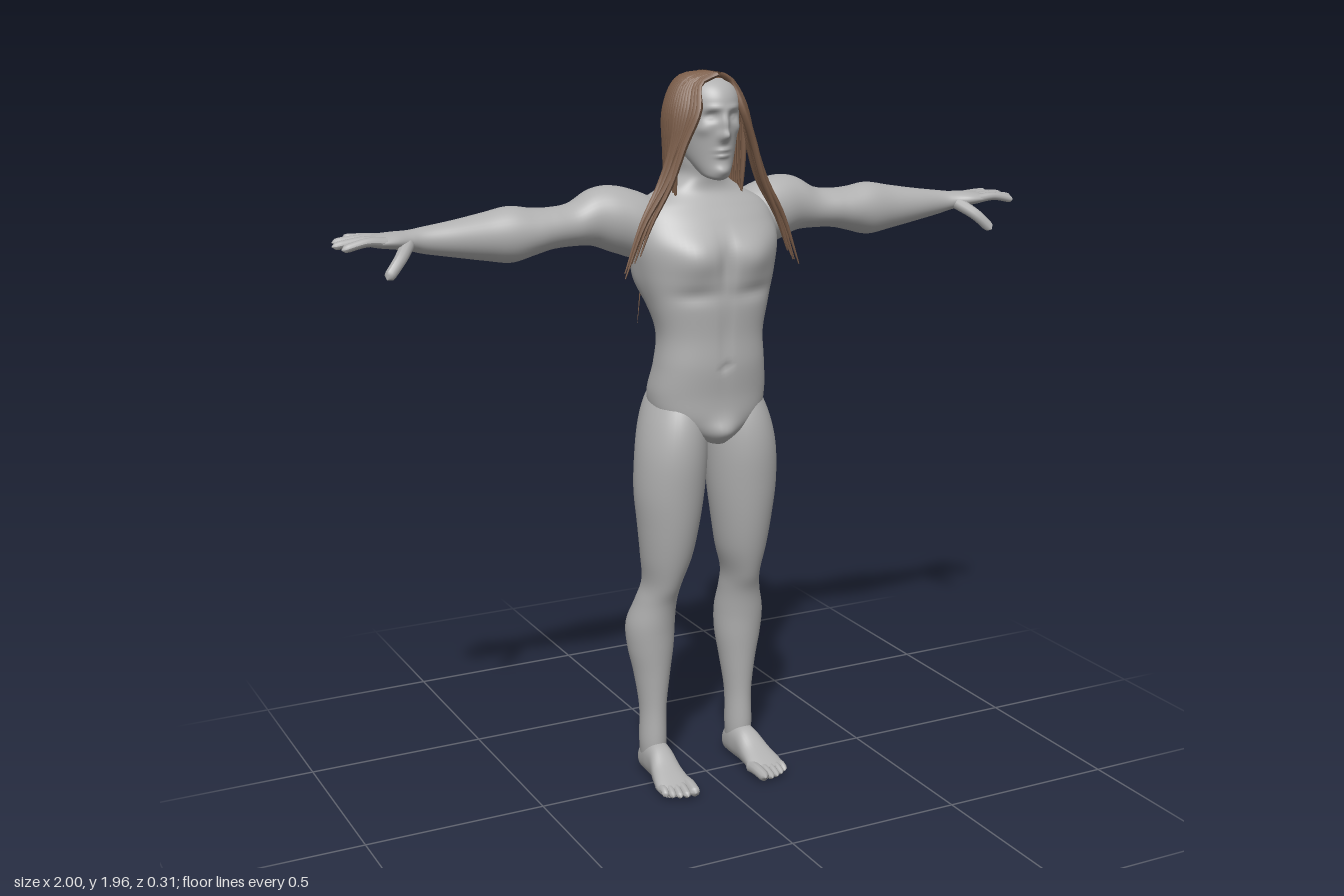
import * as THREE from 'three';

const skin = new THREE.MeshStandardMaterial({ color: 0xb0b0b0 });
skin.name = 'grey skin';
const hairBrown = new THREE.MeshStandardMaterial({ color: 0x7a5c48, side: THREE.DoubleSide });
hairBrown.name = 'brown hair';

// Smooth blend of ring rows at position u (in rows)
function ringAt(rows, u) {
  const i = Math.min(Math.floor(u), rows.length - 2), f = u - i;
  const p = k => rows[Math.max(0, Math.min(rows.length - 1, k))];
  return rows[i].map((b, c) => {
    const a = p(i - 1)[c], d = p(i + 1)[c], e = p(i + 2)[c];
    return b + 0.5 * f * (d - a + f * (2 * a - 5 * b + 4 * d - e + f * (3 * (b - d) + e - a)));
  });
}

// Closed skin over elliptical rings [t, centreA, centreB, radiusA, radiusB] along one axis
function loft(axis, rows, sides, steps, power = 2) {
  const place = { x: (t, a, b) => [t, a, b], y: (t, a, b) => [a, t, b], z: (t, a, b) => [a, b, t] }[axis];
  const n = (rows.length - 1) * steps, pos = [], idx = [];
  const sp = v => Math.sign(v) * Math.abs(v) ** (2 / power);
  const tri = (a, b, c) => (axis === 'y' ? idx.push(a, b, c) : idx.push(a, c, b));
  for (let i = 0; i <= n; i++) {
    const [t, ca, cb, ra, rb] = ringAt(rows, i / steps);
    for (let j = 0; j < sides; j++) {
      const q = (j / sides) * Math.PI * 2;
      pos.push(...place(t, ca + ra * sp(Math.cos(q)), cb + rb * sp(Math.sin(q))));
    }
  }
  for (let i = 0; i < n; i++) for (let j = 0; j < sides; j++) {
    const a = i * sides + j, b = i * sides + (j + 1) % sides;
    tri(a, a + sides, b);
    tri(b, a + sides, b + sides);
  }
  const first = rows[0], last = rows[rows.length - 1], c0 = (n + 1) * sides;
  pos.push(...place(first[0], first[1], first[2]), ...place(last[0], last[1], last[2]));
  for (let j = 0; j < sides; j++) {
    const k = (j + 1) % sides;
    tri(c0, j, k);
    tri(c0 + 1, n * sides + k, n * sides + j);
  }
  const g = new THREE.BufferGeometry();
  g.setAttribute('position', new THREE.Float32BufferAttribute(pos, 3));
  g.setIndex(idx);
  g.computeVertexNormals();
  return g;
}

// Soft symmetric bulges [x,y,z, spreadX,Y,Z, pushX,Y,Z]
function sculpt(g, bumps) {
  const p = g.attributes.position;
  for (let i = 0; i < p.count; i++) {
    const x = p.getX(i), y = p.getY(i), z = p.getZ(i), s = Math.sign(x);
    let dx = 0, dy = 0, dz = 0;
    for (const b of bumps) {
      const w = Math.exp(-(((Math.abs(x) - b[0]) / b[3]) ** 2) - ((y - b[1]) / b[4]) ** 2 - ((z - b[2]) / b[5]) ** 2);
      dx += w * b[6] * s; dy += w * b[7]; dz += w * b[8];
    }
    p.setXYZ(i, x + dx, y + dy, z + dz);
  }
  g.computeVertexNormals();
  return g;
}

// Tube along points whose radius follows a function of t
function taperTube(points, radius, segs, sides) {
  const curve = new THREE.CatmullRomCurve3(points.map(p => new THREE.Vector3(...p)));
  const g = new THREE.TubeGeometry(curve, segs, 1, sides), pos = g.attributes.position, v = new THREE.Vector3();
  for (let i = 0; i <= segs; i++) {
    const c = curve.getPointAt(i / segs), r = radius(i / segs);
    for (let j = 0; j <= sides; j++) {
      const k = i * (sides + 1) + j;
      v.fromBufferAttribute(pos, k).sub(c).multiplyScalar(r).add(c);
      pos.setXYZ(k, v.x, v.y, v.z);
    }
  }
  return g;
}

function mirrored(g) {
  const m = g.clone().scale(-1, 1, 1), a = m.index.array;
  for (let i = 0; i < a.length; i += 3) [a[i], a[i + 1]] = [a[i + 1], a[i]];
  m.computeVertexNormals();
  return m;
}

export function createModel() {
  const model = new THREE.Group();
  model.name = 'standing figure';
  const add = (name, g, mat = skin) => {
    const m = new THREE.Mesh(g, mat);
    m.name = name;
    model.add(m);
  };
  const pair = (name, g, mat) => { add('left ' + name, g, mat); add('right ' + name, mirrored(g), mat); };
  const digit = r => t => r * (1 - 0.2 * t) * Math.sqrt(Math.max(0.001, 1 - Math.max(0, (t - 0.85) / 0.15) ** 2));

  // Torso and neck
  add('torso', sculpt(loft('y', [
    [0.985, 0, 0.04, 0.025, 0.04], [1.02, 0, 0.01, 0.1, 0.09], [1.06, 0, 0, 0.15, 0.108], [1.12, 0, -0.002, 0.164, 0.113],
    [1.2, 0, 0.015, 0.154, 0.105], [1.28, 0, 0.02, 0.148, 0.1], [1.36, 0, 0.013, 0.165, 0.112], [1.44, 0, -0.003, 0.188, 0.129],
    [1.52, 0, -0.012, 0.203, 0.132], [1.58, 0, -0.03, 0.198, 0.117], [1.62, 0, -0.035, 0.175, 0.093],
    [1.655, 0, -0.04, 0.115, 0.075], [1.69, 0, -0.025, 0.064, 0.06], [1.73, 0, -0.01, 0.056, 0.056], [1.77, 0, 0, 0.054, 0.056],
  ], 72, 8, 2.3), [
    [0.085, 1.49, 0.13, 0.065, 0.055, 0.06, 0, 0, 0.022], // chest
    [0.09, 1.395, 0.13, 0.07, 0.02, 0.06, 0, 0, -0.008],
    [0, 1.48, 0.13, 0.013, 0.07, 0.06, 0, 0, -0.01],
    [0, 1.28, 0.13, 0.012, 0.1, 0.05, 0, 0, -0.005],
    [0, 1.2, 0.12, 0.009, 0.01, 0.03, 0, 0, -0.008], // navel
    [0, 1.02, 0.09, 0.04, 0.035, 0.04, 0, 0, 0.025], // groin
    [0.17, 1.42, -0.06, 0.05, 0.08, 0.06, 0.014, 0, -0.006], // back muscles
    [0.1, 1.52, -0.13, 0.05, 0.06, 0.05, 0, 0, -0.01],
    [0, 1.4, -0.11, 0.022, 0.16, 0.06, 0, 0, 0.016],
    [0.075, 1.09, -0.11, 0.055, 0.055, 0.06, 0, 0, -0.028], // seat
    [0, 1.06, -0.12, 0.015, 0.06, 0.06, 0, 0, 0.02],
  ]));

  // Head with sculpted face
  add('head', sculpt(loft('y', [
    [1.688, 0, 0.07, 0.012, 0.014], [1.696, 0, 0.058, 0.032, 0.034], [1.715, 0, 0.04, 0.046, 0.055], [1.75, 0, 0.014, 0.062, 0.083],
    [1.8, 0, 0, 0.073, 0.103], [1.85, 0, -0.004, 0.079, 0.112], [1.9, 0, -0.006, 0.079, 0.11], [1.935, 0, -0.008, 0.062, 0.085],
    [1.955, 0, -0.01, 0.025, 0.035],
  ], 96, 10), [
    [0, 1.83, 0.115, 0.011, 0.03, 0.04, 0, 0, 0.015], // nose
    [0, 1.803, 0.12, 0.014, 0.013, 0.04, 0, 0, 0.024],
    [0.032, 1.852, 0.1, 0.017, 0.012, 0.04, 0, 0, -0.014], // eyes and brow
    [0.032, 1.85, 0.1, 0.01, 0.006, 0.04, 0, 0, 0.006],
    [0.028, 1.874, 0.1, 0.025, 0.008, 0.04, 0, 0, 0.005],
    [0.048, 1.82, 0.08, 0.016, 0.016, 0.04, 0.004, 0, 0.004],
    [0, 1.766, 0.1, 0.02, 0.005, 0.03, 0, 0, 0.008], // lips and chin
    [0, 1.751, 0.1, 0.017, 0.005, 0.03, 0, 0, 0.008],
    [0, 1.712, 0.09, 0.022, 0.014, 0.03, 0, 0, 0.009],
  ]));

  // Arm through to the palm
  pair('arm', loft('x', [
    [0.1, 1.56, -0.06, 0.06, 0.065], [0.17, 1.565, -0.06, 0.088, 0.083], [0.24, 1.584, -0.065, 0.088, 0.08],
    [0.3, 1.592, -0.067, 0.074, 0.07], [0.36, 1.578, -0.065, 0.056, 0.064], [0.42, 1.573, -0.06, 0.054, 0.064],
    [0.47, 1.568, -0.06, 0.061, 0.068], [0.53, 1.565, -0.06, 0.072, 0.067], [0.6, 1.564, -0.06, 0.061, 0.058],
    [0.68, 1.565, -0.056, 0.047, 0.046], [0.76, 1.567, -0.055, 0.034, 0.036], [0.8, 1.57, -0.051, 0.026, 0.038],
    [0.845, 1.574, -0.045, 0.021, 0.05], [0.885, 1.575, -0.047, 0.016, 0.053], [0.912, 1.574, -0.05, 0.008, 0.044],
  ], 36, 6));

  // Fingers: tip x, root z, tip z
  [[0.985, -0.006, 0], [1, -0.034, -0.032], [0.99, -0.062, -0.066], [0.955, -0.088, -0.096]].forEach(([x, z0, z1], i) =>
    pair('finger ' + (i + 1), taperTube([[0.87, 1.576, z0], [0.92, 1.58, (z0 + z1) / 2], [x, 1.566 + i * 0.005, z1]], digit(0.0125), 14, 10)));
  pair('thumb', taperTube([[0.81, 1.565, -0.025], [0.845, 1.535, 0.018], [0.887, 1.492, 0.04]], digit(0.018), 14, 10));

  // Leg
  pair('leg', loft('y', [
    [0.035, 0.135, -0.07, 0.03, 0.045], [0.1, 0.136, -0.065, 0.037, 0.046], [0.2, 0.135, -0.066, 0.037, 0.046],
    [0.3, 0.135, -0.071, 0.05, 0.058], [0.38, 0.137, -0.075, 0.064, 0.07], [0.45, 0.138, -0.072, 0.067, 0.075],
    [0.52, 0.13, -0.052, 0.056, 0.068], [0.58, 0.122, -0.031, 0.051, 0.072], [0.66, 0.115, -0.016, 0.069, 0.082],
    [0.75, 0.112, -0.008, 0.083, 0.093], [0.85, 0.11, -0.005, 0.095, 0.104], [0.95, 0.105, -0.003, 0.096, 0.11],
    [1.03, 0.098, -0.011, 0.088, 0.112], [1.1, 0.09, -0.02, 0.07, 0.1], [1.16, 0.085, -0.02, 0.04, 0.07],
  ], 40, 6));

  // Foot and toes
  pair('foot', loft('z', [
    [-0.125, 0.135, 0.03, 0.01, 0.016], [-0.108, 0.135, 0.036, 0.028, 0.036], [-0.06, 0.135, 0.05, 0.036, 0.05],
    [-0.01, 0.137, 0.05, 0.038, 0.05], [0.04, 0.142, 0.034, 0.045, 0.034], [0.085, 0.145, 0.023, 0.051, 0.023],
    [0.12, 0.147, 0.016, 0.043, 0.014],
  ], 32, 6, 2.3));
  [[0.107, 0.157, 0.018], [0.13, 0.155, 0.013], [0.149, 0.149, 0.012], [0.167, 0.14, 0.012], [0.184, 0.127, 0.012]].forEach(([x, z, r], i) =>
    pair('toe ' + (i + 1), taperTube([[x, 0.022, 0.075], [x, 0.024, 0.11], [x + 0.002, r, z]], digit(r), 12, 10)));

  // Hair base under the locks: tilted cap and back curtain
  add('hair cap', new THREE.SphereGeometry(1, 40, 24, 0, Math.PI * 2, 0, Math.PI * 0.52)
    .rotateX(-0.6).scale(0.095, 0.1, 0.113).translate(0, 1.862, -0.008), hairBrown);
  add('hair curtain', new THREE.CylinderGeometry(0.097, 0.085, 0.24, 32, 4, true, Math.PI - 1.35, 2.7)
    .scale(1, 1, 1.17).translate(0, 1.75, -0.006), hairBrown);

  // Locks fanning from a centre parting
  let seed = 7;
  const rand = () => (seed = (seed * 16807) % 2147483647) / 2147483647;
  const count = 30;
  for (let i = 0; i < count; i++) {
    const k = i / (count - 1), a = 0.7 + k * (Math.PI - 0.7), s = Math.sin(a), c = Math.cos(a), j = rand();
    const path = [[0.003, 1.957, 0.075 - 0.1 * k], [s * 0.065, 1.935, c * 0.085 - 0.008], [s * 0.1, 1.865, c * 0.115 - 0.005]];
    if (k < 0.27) {
      // Front locks sweep outwards over the shoulder
      const d = k / 0.27;
      path.push([0.1 + 0.01 * d, 1.78, 0.075 - 0.05 * d], [0.135 + 0.01 * j, 1.68, 0.065 - 0.05 * d],
        [0.185 + 0.02 * j, 1.58, 0.055 - 0.03 * d], [0.215 + 0.045 * j, 1.5 - 0.06 * j, 0.05 - 0.025 * d]);
    } else {
      path.push([s * 0.103, 1.76, c * 0.118 - 0.004], [s * 0.1, 1.68, c * 0.12 - 0.006], [s * 0.095, 1.63 - 0.04 * j, c * 0.12 - 0.012]);
    }
    pair('lock ' + (i + 1), taperTube(path, t => 0.0105 * (0.6 + Math.min(0.4, t * 2)) * (1 - 0.85 * t ** 2.5), 26, 6), hairBrown);
  }

  // Loose strand tips down the back
  for (let i = 0; i < 4; i++) {
    const x = 0.03 + i * 0.035, y = 1.27 + 0.05 * rand();
    pair('loose strand ' + (i + 1), taperTube([[x, 1.42, -0.115], [x, 1.36, -0.128], [x * 1.05, y, -0.13]], t => 0.0028 * (1 - 0.8 * t), 8, 4), hairBrown);
  }
  return model;
}
